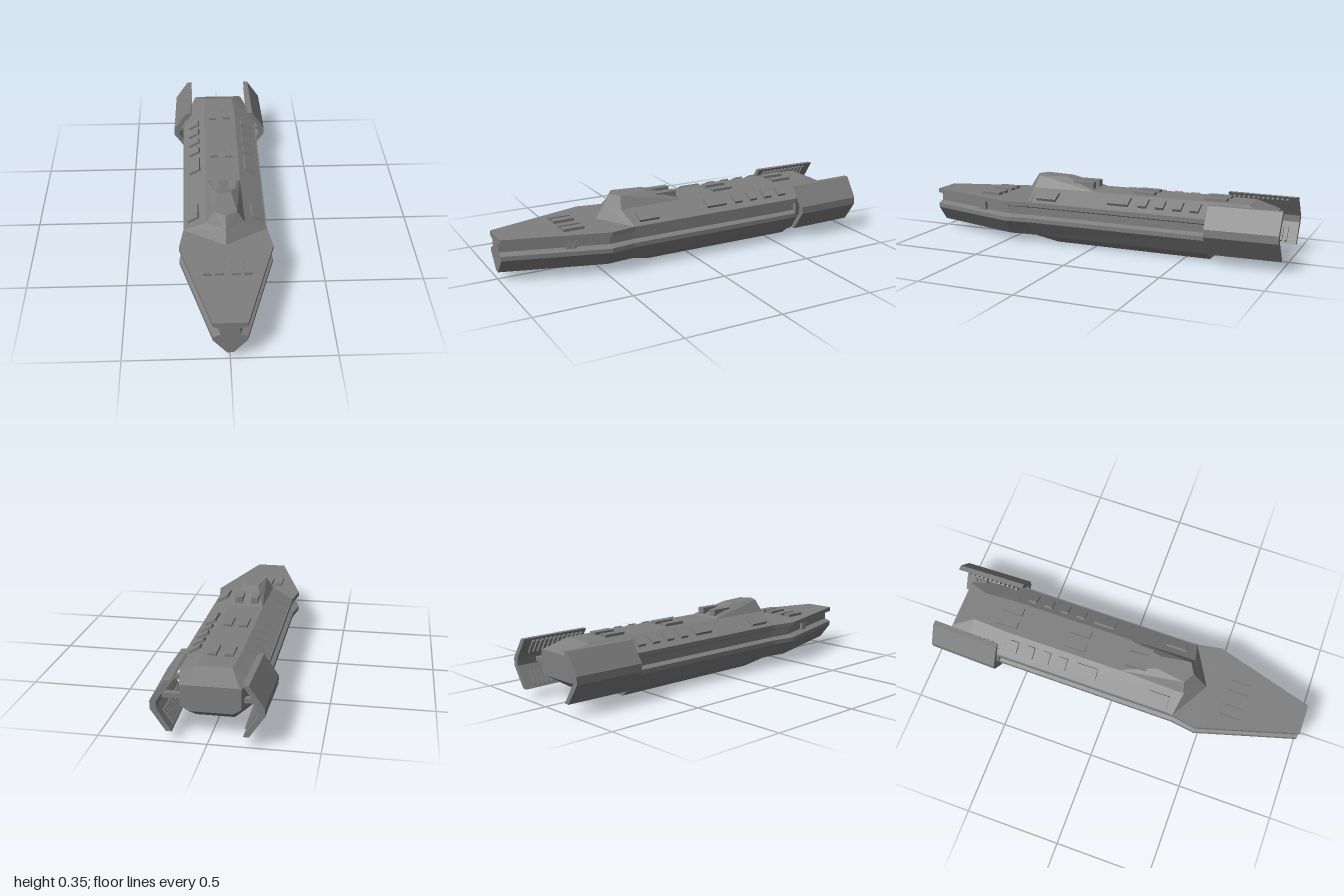
import * as THREE from 'three';
import { ConvexGeometry } from 'three/addons/geometries/ConvexGeometry.js';

const hullGrey = new THREE.MeshStandardMaterial({ color: 0x7f7f7f });
hullGrey.name = 'hullGrey';

// Joins rings of [x, y] points (anticlockwise seen from the front), listed front to back
function loft(sections) {
  const pos = [];
  const put = (ring, z, i) => pos.push(ring[i][0], ring[i][1], z);
  for (let s = 0; s < sections.length - 1; s++) {
    const [za, a] = sections[s], [zb, b] = sections[s + 1];
    for (let i = 0; i < a.length; i++) {
      const j = (i + 1) % a.length;
      put(a, za, i); put(b, zb, i); put(b, zb, j);
      put(a, za, i); put(b, zb, j); put(a, za, j);
    }
  }
  const cap = ([z, ring], flip) => {
    const tris = THREE.ShapeUtils.triangulateShape(ring.map(p => new THREE.Vector2(...p)), []);
    for (const t of tris) for (const i of flip ? [t[2], t[1], t[0]] : t) put(ring, z, i);
  };
  cap(sections[0], false);
  cap(sections[sections.length - 1], true);
  const g = new THREE.BufferGeometry();
  g.setAttribute('position', new THREE.Float32BufferAttribute(pos, 3));
  g.computeVertexNormals();
  return g;
}

// Completes a half profile, listed bottom to top on +x
const both = half => [...half, ...half.map(([x, y]) => [-x, y]).reverse()];
const symmetric = rows => loft(rows.map(([z, half]) => [z, both(half)]));

export function createModel() {
  const group = new THREE.Group();
  const add = (name, geometry, parent = group) => {
    const m = new THREE.Mesh(geometry, hullGrey);
    m.name = name;
    parent.add(m);
    return m;
  };
  const box = (name, w, h, d, x, y, z, parent) => {
    const m = add(name, new THREE.BoxGeometry(w, h, d), parent);
    m.position.set(x, y, z);
    return m;
  };

  // Lower hull: [z, bottom half-width, side half-width, lip half-width]
  add('lowerHull', symmetric([
    [1, 0.015, 0.08, 0.045], [0.48, 0.168, 0.232, 0.195],
    [0.35, 0.155, 0.213, 0.185], [-0.63, 0.155, 0.21, 0.185],
  ].map(([z, b, s, l]) => [z, [[b, 0.04], [s, 0.12], [s, 0.143], [l, 0.155]]])));

  // Recessed band between the hull halves
  add('grooveCore', symmetric([[1, 0.045], [0.48, 0.195], [0.35, 0.185], [-0.63, 0.185]]
    .map(([z, w]) => [z, [[w, 0.15], [w, 0.2]]])));

  // Overhanging upper deck
  add('upperDeck', symmetric([
    [1, 0.08, 0.045], [0.48, 0.232, 0.195], [0.35, 0.21, 0.185], [-0.63, 0.21, 0.185],
  ].map(([z, s, l]) => [z, [[l, 0.195], [s, 0.205], [s, 0.228]]])));

  // Sloped roof
  add('roof', symmetric([0.35, -0.63].map(z => [z, [[0.21, 0.225], [0.09, 0.29]]])));

  // Pointed front of the roof and the cabin above it
  const mirrored = pts => pts.flatMap(([x, y, z]) =>
    [new THREE.Vector3(x, y, z), new THREE.Vector3(-x, y, z)]);
  add('roofProw', new ConvexGeometry(mirrored([
    [0, 0.228, 0.47], [0.21, 0.228, 0.35], [0.095, 0.29, 0.372], [0, 0.29, 0.428],
    [0.21, 0.228, 0.34], [0.09, 0.29, 0.34],
  ])));
  add('cabin', new ConvexGeometry(mirrored([
    [0, 0.288, 0.43], [0.097, 0.288, 0.37], [0.058, 0.348, 0.357], [0, 0.348, 0.39],
    [0.035, 0.348, 0.2], [0.09, 0.288, 0.01],
  ])));

  // Tapering stern block
  add('stern', symmetric([
    [-0.63, [[0.155, 0.042], [0.208, 0.12], [0.208, 0.228], [0.09, 0.29]]],
    [-0.81, [[0.09, 0.047], [0.165, 0.12], [0.165, 0.24], [0.08, 0.29]]],
    [-0.92, [[0.1, 0.115], [0.14, 0.14], [0.14, 0.235], [0.13, 0.24]]],
  ]));

  // Keel
  add('keel', symmetric([
    [0.35, [[0.145, 0.039], [0.15, 0.042]]], [0.23, [[0.1, 0], [0.15, 0.042]]],
    [-0.625, [[0.1, 0], [0.15, 0.042]]],
  ]));

  // Engine shroud profile: outer face upward, then inner face downward
  const shroud = [
    [0.195, 0.05], [0.265, 0.153], [0.265, 0.192], [0.195, 0.295],
    [0.168, 0.295], [0.236, 0.19], [0.236, 0.155], [0.168, 0.05],
  ];

  for (const s of [1, -1]) {
    const side = new THREE.Group();
    side.name = s > 0 ? 'leftFittings' : 'rightFittings';
    group.add(side);

    // Shroud, leaning slightly inward toward the rear
    const place = dx => {
      const ring = shroud.map(([x, y]) => [s * (x - dx), y]);
      return s > 0 ? ring : ring.reverse();
    };
    add('engineShroud', loft([[-0.635, place(0)], [-1, place(0.01)]]), side);

    // Struts and ribs behind the shroud
    for (const z of [-0.68, -0.88]) box('shroudStrut', 0.12, 0.022, 0.03, s * 0.18, 0.173, z, side);
    for (let i = 0; i < 12; i++) for (const up of [1, -1]) {
      const rib = box('shroudRib', 0.012, 0.08, 0.012, s * 0.185, 0.1725 + up * 0.075, -0.67 - i * 0.025, side);
      rib.rotation.z = s * up * 0.58;
    }

    // Grilles in the groove
    const grille = new THREE.Group();
    grille.name = 'grooveGrille';
    grille.position.set(s * 0.146, 0.174, 0.665);
    grille.rotation.y = -s * 0.28;
    side.add(grille);
    box('grillePanel', 0.018, 0.046, 0.055, 0, 0, 0, grille);
    for (let i = 0; i < 4; i++) box('grilleBar', 0.024, 0.004, 0.055, 0, -0.015 + i * 0.01, 0, grille);

    // Hatches on the foredeck, roof and cabin rear
    for (const x of [0.04, 0.097]) box('deckHatch', 0.041, 0.02, 0.11, s * x, 0.233, 0.635, side);
    for (const z of [-0.632, -0.248]) box('roofHatch', 0.041, 0.02, 0.115, s * 0.04, 0.294, z, side);
    box('cabinVent', 0.038, 0.045, 0.115, s * 0.042, 0.309, 0.095, side);

    // Hatches lying on the roof slope: [centre z, length, centre x]
    for (const [z, d, x] of [
      [-0.558, 0.045, 0.147], [-0.467, 0.045, 0.147], [-0.375, 0.042, 0.147],
      [-0.282, 0.045, 0.147], [-0.148, 0.115, 0.147], [0.255, 0.11, 0.16],
    ]) {
      const y = 0.29 - (x - 0.09) * 0.542 + 0.004;
      box('slopeHatch', 0.062, 0.022, d, s * x, y, z, side).rotation.z = -s * 0.497;
    }
  }
  return group;
}
